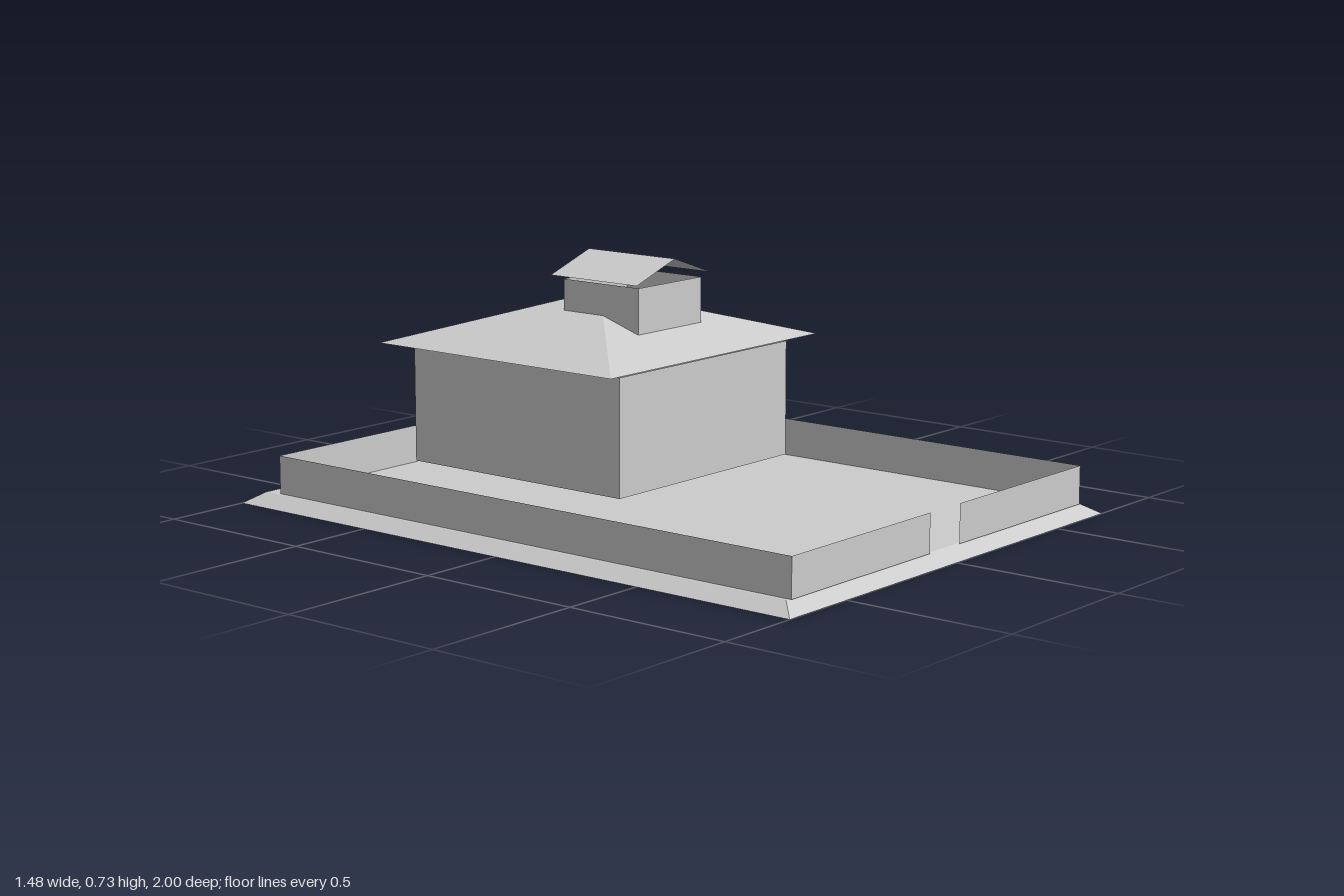
import * as THREE from 'three';

const solid = new THREE.MeshStandardMaterial({ color: 0xcccccc, flatShading: true });
const sheet = new THREE.MeshStandardMaterial({ color: 0xcccccc, flatShading: true, side: THREE.DoubleSide });

// Thin surface spanned between two polylines of [x, y, z] points
function strip(name, lower, upper) {
  const pos = [];
  for (let i = 0; i < lower.length - 1; i++) {
    const [a, b, c, d] = [lower[i], lower[i + 1], upper[i + 1], upper[i]];
    pos.push(...a, ...b, ...c, ...a, ...c, ...d);
  }
  const geo = new THREE.BufferGeometry();
  geo.setAttribute('position', new THREE.Float32BufferAttribute(pos, 3));
  geo.computeVertexNormals();
  const mesh = new THREE.Mesh(geo, sheet);
  mesh.name = name;
  return mesh;
}

// Upright thin wall along a plan of [x, z] points
function wall(name, plan, y0, y1) {
  return strip(name, plan.map(([x, z]) => [x, y0, z]), plan.map(([x, z]) => [x, y1, z]));
}

// Closed rectangular plan, counter-clockwise seen from above
function rectangle(halfWidth, front, back) {
  const w = halfWidth;
  return [[-w, front], [w, front], [w, back], [-w, back], [-w, front]];
}

export function createModel() {
  const model = new THREE.Group();
  model.name = 'walledHouse';

  // Ground slab with sloping edges
  const slabGeo = new THREE.BoxGeometry(1.48, 0.032, 2);
  const p = slabGeo.attributes.position;
  for (let i = 0; i < p.count; i++) {
    if (p.getY(i) > 0) p.setXYZ(i, Math.sign(p.getX(i)) * 0.69, p.getY(i), Math.sign(p.getZ(i)) * 0.95);
  }
  slabGeo.computeVertexNormals();
  const slab = new THREE.Mesh(slabGeo, solid);
  slab.name = 'groundSlab';
  slab.position.y = 0.016;
  model.add(slab);

  // Yard wall, open at the front gateway
  model.add(wall('yardWall',
    [[0.07, 0.96], [0.68, 0.96], [0.68, -0.9], [-0.68, -0.9], [-0.68, 0.96], [-0.07, 0.96]], 0.032, 0.145));

  // House walls, raised clear of the ground
  model.add(wall('houseWalls', rectangle(0.377, 0.135, -0.645), 0.115, 0.455));

  // Hipped main roof
  const roofGeo = new THREE.ConeGeometry(Math.SQRT2, 0.141, 4, 1, true).rotateY(Math.PI / 4)
    .scale(0.465, 1, 0.44).toNonIndexed();
  roofGeo.computeVertexNormals();
  const roof = new THREE.Mesh(roofGeo, sheet);
  roof.name = 'mainRoof';
  roof.position.set(0, 0.47 + 0.141 / 2, -0.26);
  model.add(roof);

  // Roof lantern with its own gabled roof
  const lantern = new THREE.Group();
  lantern.name = 'roofLantern';
  lantern.add(wall('lanternWalls', rectangle(0.14, 0.005, -0.275), 0.527, 0.66));
  const gable = (z) => [[0.168, 0.672, z], [0, 0.73, z], [-0.168, 0.672, z]];
  lantern.add(strip('lanternRoof', gable(0.022), gable(-0.3)));
  model.add(lantern);

  return model;
}
